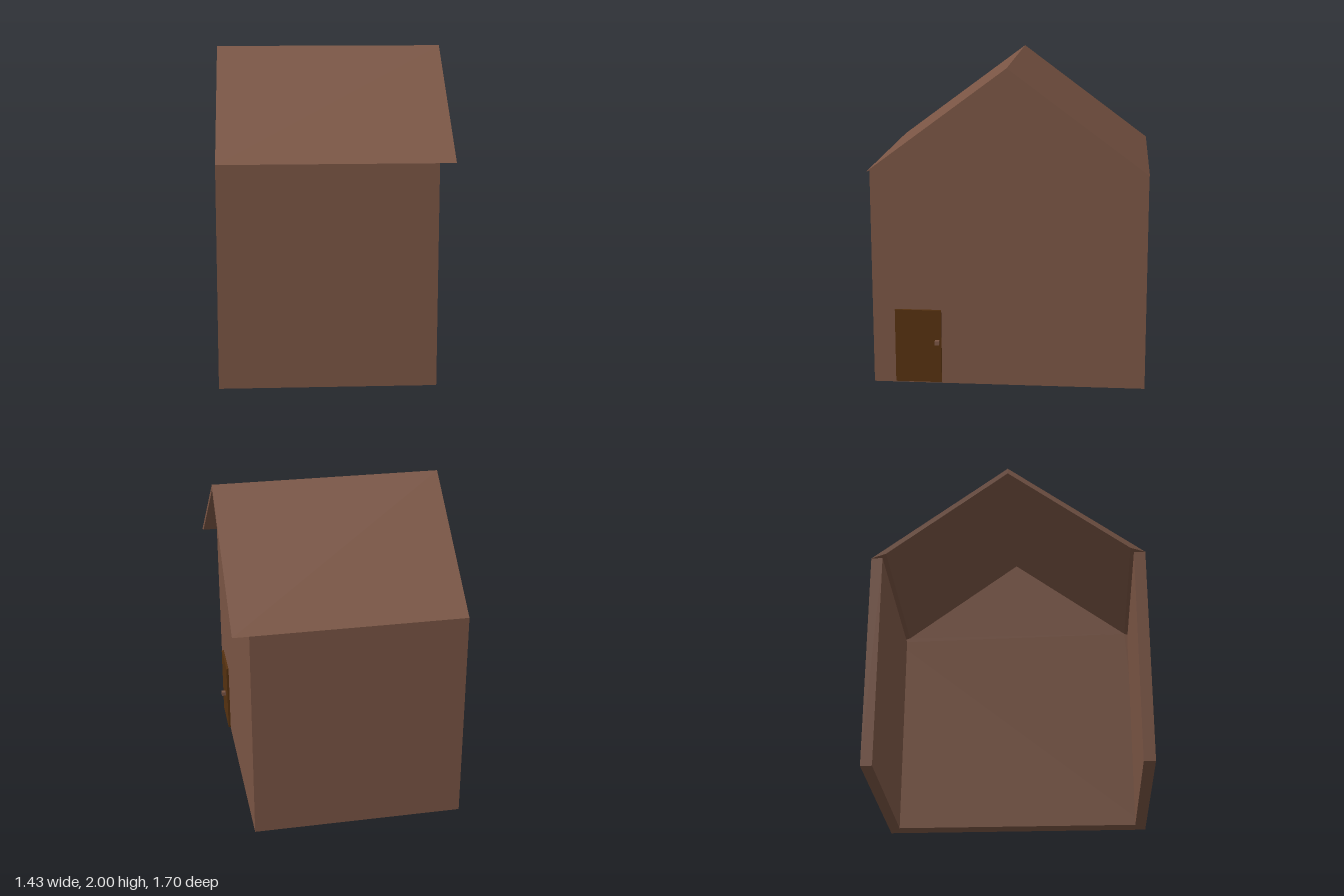
import * as THREE from 'three';

const brown = new THREE.MeshStandardMaterial({ color: 0x7a5544 });
brown.name = 'woodBrown';
const darkBrown = new THREE.MeshStandardMaterial({ color: 0x553110 });
darkBrown.name = 'doorBrown';

const HALF = 0.85;   // half depth of the house
const EAVE = 1.37;   // height of the eaves
const BACK = -0.71;  // open end
const GABLE = 0.61;  // outer face of the gable wall

// Extrudes a (z, y) outline along x from x0 to x1.
function extrudeAlongX(outline, x0, x1) {
  const shape = new THREE.Shape(outline.map(([z, y]) => new THREE.Vector2(-z, y)));
  const geometry = new THREE.ExtrudeGeometry(shape, { depth: x1 - x0, bevelEnabled: false });
  return geometry.rotateY(Math.PI / 2).translate(x0, 0, 0);
}

// Box given by its minimum and maximum corners.
function boxBetween(a, b) {
  return new THREE.BoxGeometry(b[0] - a[0], b[1] - a[1], b[2] - a[2])
    .translate((a[0] + b[0]) / 2, (a[1] + b[1]) / 2, (a[2] + b[2]) / 2);
}

export function createModel() {
  const house = new THREE.Group();
  house.name = 'house';
  const add = (name, geometry, material) => {
    const mesh = new THREE.Mesh(geometry, material);
    mesh.name = name;
    house.add(mesh);
  };

  // Underside of the roof, shared by roof and gable wall
  const underside = [[-HALF, EAVE], [-0.76, 1.4], [0, 1.965], [0.76, 1.4], [HALF, EAVE]];

  // Gable wall at the closed end
  add('gableWall', extrudeAlongX([[HALF, 0], [-HALF, 0], ...underside], 0.5, GABLE), brown);

  // Two long side walls
  add('frontWall', boxBetween([BACK, 0, HALF - 0.07], [0.5, EAVE, HALF]), brown);
  add('rearWall', boxBetween([BACK, 0, -HALF], [0.5, EAVE, -HALF + 0.07]), brown);

  // Pitched roof overhanging the gable; its open end leans out slightly at the ridge
  const roof = extrudeAlongX([[0, 2], ...underside], BACK, 0.71);
  const p = roof.attributes.position;
  for (let i = 0; i < p.count; i++) {
    if (p.getX(i) < 0) p.setX(i, BACK - (p.getY(i) - EAVE) * 0.013);
  }
  roof.computeVertexNormals();
  add('roof', roof, brown);

  // Door and its square knob on the gable wall
  add('door', boxBetween([GABLE, 0.01, 0.42], [0.625, 0.48, 0.71]), darkBrown);
  add('doorKnob', boxBetween([0.635, 0.265, 0.43], [0.662, 0.292, 0.457]), brown);

  return house;
}
